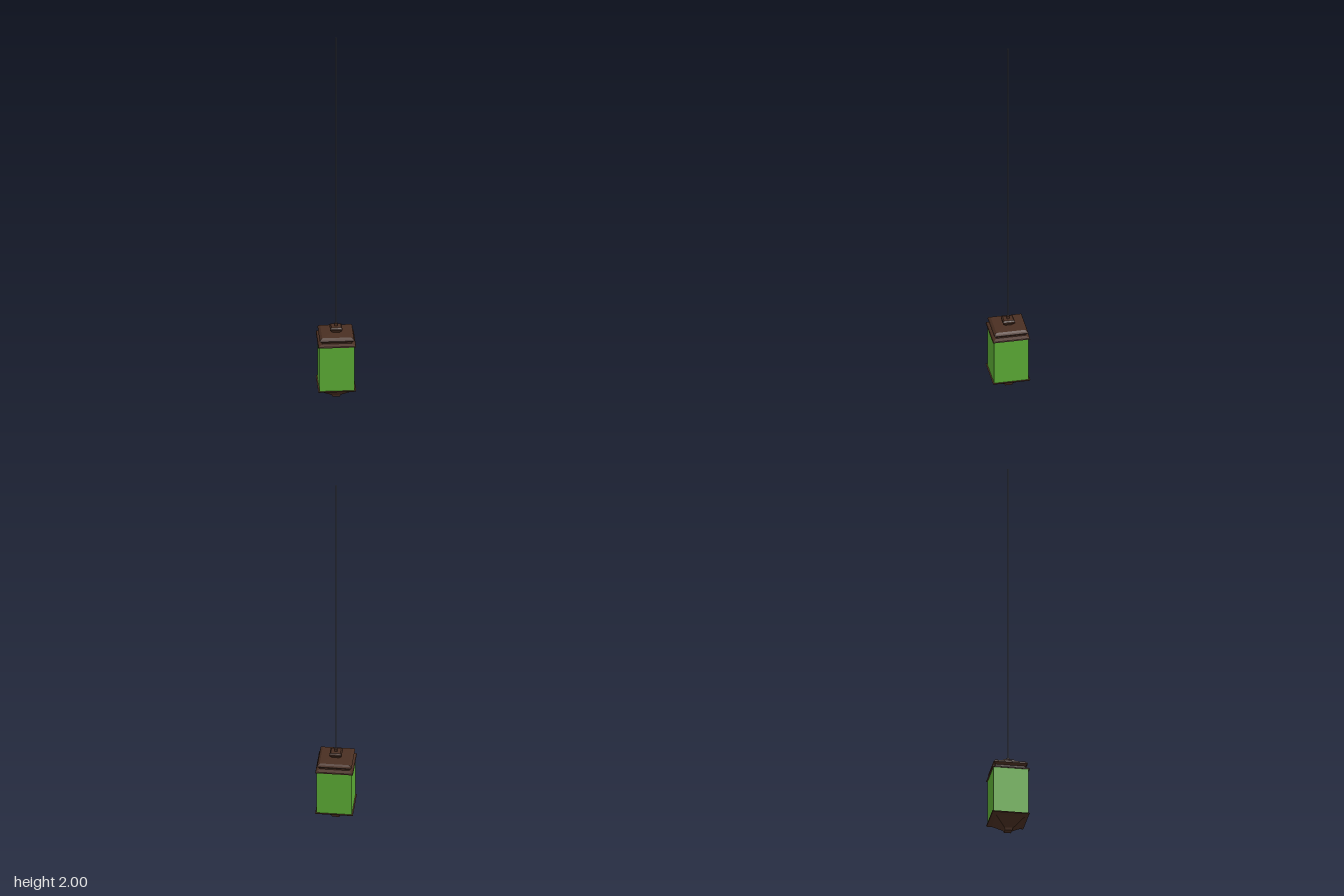
import * as THREE from 'three';

const wood = new THREE.MeshStandardMaterial({ color: 0x4a2f22, flatShading: true });
const glass = new THREE.MeshStandardMaterial({ color: 0x5cac35, flatShading: true });
const grey = new THREE.MeshStandardMaterial({ color: 0x777777 });

// Square turned part: profile of [half width, height], listed bottom to top
function squareLathe(name, profile, material) {
  const points = profile.map(([half, y]) => new THREE.Vector2(half * Math.SQRT2, y));
  const mesh = new THREE.Mesh(new THREE.LatheGeometry(points, 4, Math.PI / 4), material);
  mesh.name = name;
  return mesh;
}

export function createModel() {
  const lantern = new THREE.Group();
  lantern.name = 'hangingLantern';

  // Tapered foot with a thin rim under the glass
  lantern.add(squareLathe('base', [
    [0, 0], [0.018, 0], [0.022, 0.012], [0.072, 0.053], [0.093, 0.062], [0.095, 0.067], [0, 0.067],
  ], wood));

  // Glass body
  lantern.add(squareLathe('glassBody', [
    [0, 0.066], [0.088, 0.066], [0.088, 0.313], [0, 0.313],
  ], glass));

  // Stepped cap: flange, waist and bevelled lid
  lantern.add(squareLathe('cap', [
    [0, 0.31], [0.095, 0.31], [0.093, 0.316], [0.075, 0.324], [0.075, 0.331],
    [0.087, 0.343], [0.083, 0.351], [0.074, 0.357], [0, 0.36],
  ], wood));

  // Small knob on the lid
  lantern.add(squareLathe('finial', [
    [0.018, 0.357], [0.02, 0.362], [0.031, 0.376], [0.03, 0.382], [0.024, 0.388],
    [0.007, 0.389], [0.007, 0.403], [0, 0.403],
  ], wood));

  // Hanging cord
  const cord = new THREE.Mesh(new THREE.CylinderGeometry(0.003, 0.003, 1.6, 8), grey);
  cord.name = 'cord';
  cord.position.y = 1.2;
  lantern.add(cord);

  return lantern;
}
